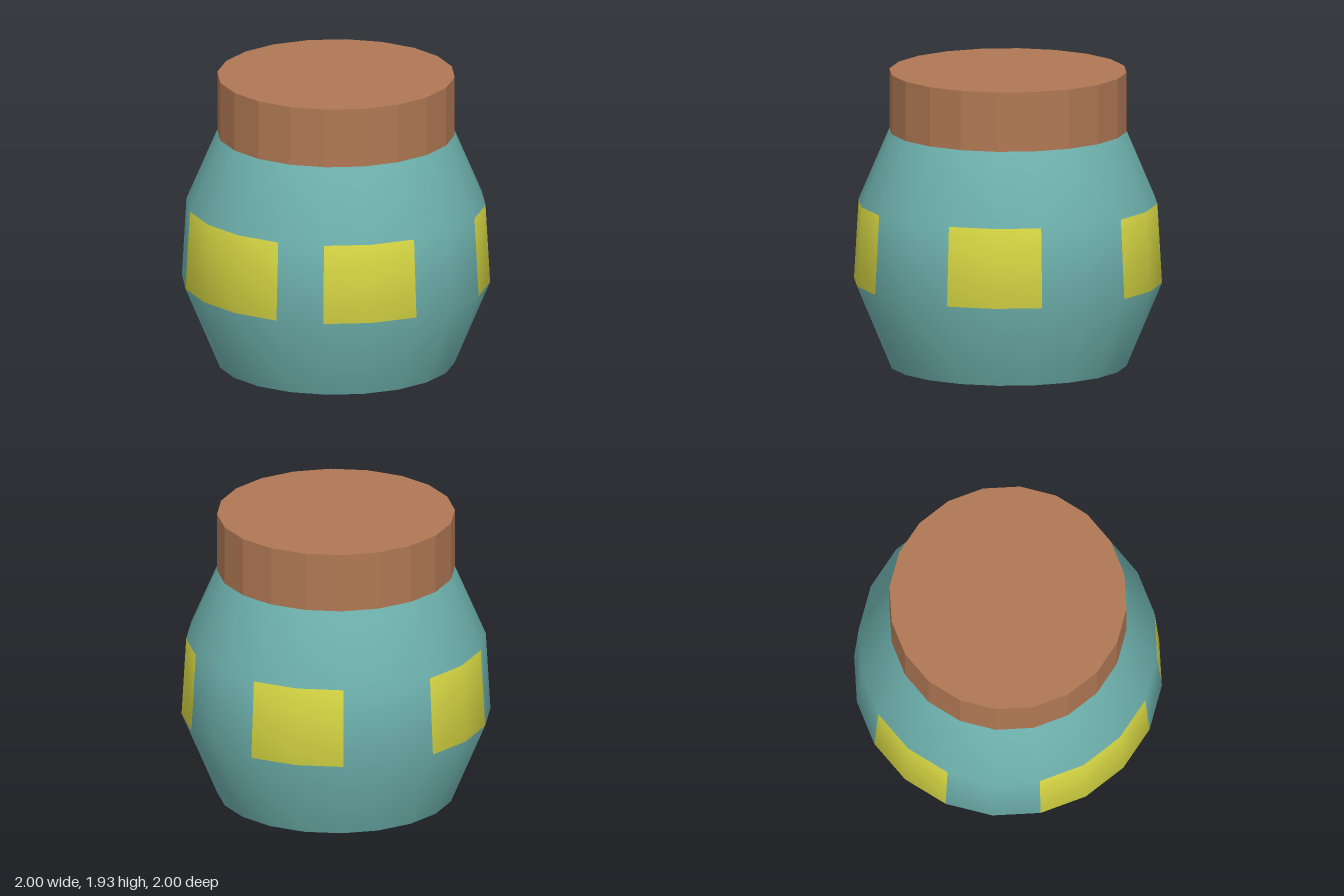
import * as THREE from 'three';

const SIDES = 20;

export function createModel() {
  const group = new THREE.Group();
  const add = (name, geometry, color, flatShading = false) => {
    const mesh = new THREE.Mesh(geometry, new THREE.MeshStandardMaterial({ color, flatShading }));
    mesh.name = name;
    group.add(mesh);
    return mesh;
  };

  // Pot wall: smooth lathe, split into the wall and its painted patches
  const profile = [[0.77, 0], [1, 0.55], [0.97, 1.07], [0.77, 1.54]]
    .map(([r, y]) => new THREE.Vector2(r, y));
  const wall = new THREE.LatheGeometry(profile, SIDES);
  const bands = profile.length - 1;
  const source = Array.from(wall.index.array);
  const wallFaces = [], patchFaces = [];
  for (let side = 0; side < SIDES; side++) {
    // five patches in the middle band; the last is one side wider
    const painted = side % 4 < 2 || side === 18;
    for (let band = 0; band < bands; band++) {
      const start = (side * bands + band) * 6;
      (band === 1 && painted ? patchFaces : wallFaces).push(...source.slice(start, start + 6));
    }
  }
  const patches = wall.clone();
  wall.setIndex(wallFaces);
  patches.setIndex(patchFaces);
  add('potWall', wall, 0x6fb3af);
  add('paintedPatches', patches, 0xd9d945);

  // Flat underside
  add('potBase', new THREE.CircleGeometry(0.77, SIDES).rotateX(Math.PI / 2), 0xcccccc);

  // Faceted lid
  const lid = add('lid', new THREE.CylinderGeometry(0.77, 0.77, 0.39, SIDES), 0xb07854, true);
  lid.position.y = 1.735;

  return group;
}
